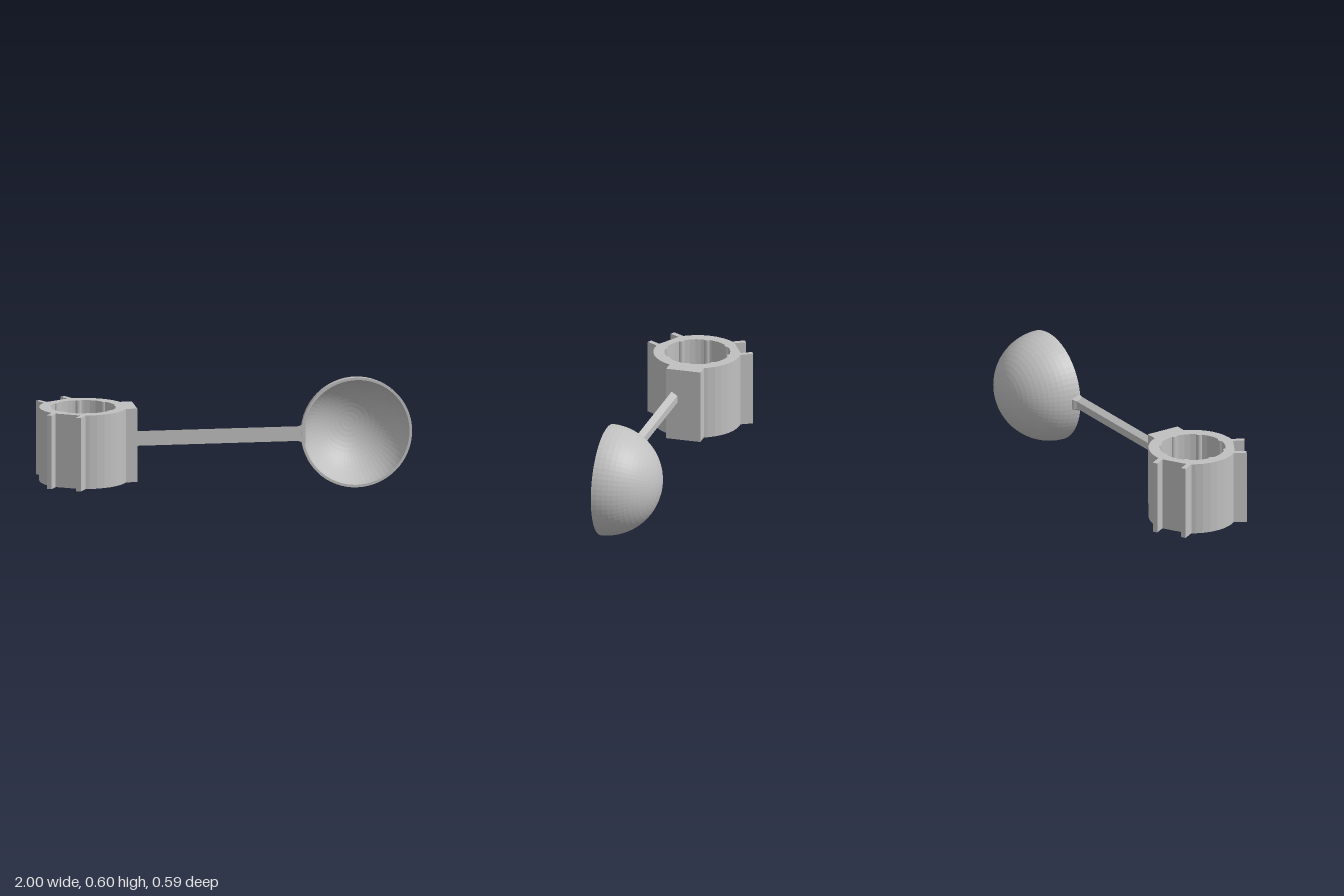
import * as THREE from 'three';
import { ConvexGeometry } from 'three/addons/geometries/ConvexGeometry.js';

export function createModel() {
  const model = new THREE.Group();
  const grey = new THREE.MeshStandardMaterial({ color: 0xc0c0c0 });
  grey.name = 'plain grey';

  function add(name, geometry, x = 0, y = 0, z = 0, parent = model) {
    const mesh = new THREE.Mesh(geometry, grey);
    mesh.name = name;
    mesh.position.set(x, y, z);
    parent.add(mesh);
    return mesh;
  }
  const rad = THREE.MathUtils.degToRad;
  const onCircle = (r, deg) => new THREE.Vector2(r * Math.cos(rad(deg)), r * Math.sin(rad(deg)));

  // Collar: faceted ring with two flats on its far side
  const collar = new THREE.Group();
  collar.name = 'collar';
  collar.position.set(-0.765, 0.073, 0);
  model.add(collar);
  const outline = [], hole = [];
  for (let a = 0; a < 360; a += 10) {
    const onFlat = Math.abs(a - 120) < 20 || Math.abs(a - 240) < 20;
    if (!onFlat) outline.push(onCircle(0.235, a));
    hole.push(onCircle(0.176, a));
  }
  const ringShape = new THREE.Shape(outline);
  ringShape.holes.push(new THREE.Path(hole));
  const ring = new THREE.ExtrudeGeometry(ringShape, { depth: 0.4, bevelEnabled: false });
  ring.rotateX(-Math.PI / 2);
  add('collarRing', ring, 0, 0, 0, collar);

  // Grip pins along the inner wall, stopping short of the bottom
  for (let i = 0; i < 8; i++) {
    const p = onCircle(0.183, i * 45);
    add('gripPin', new THREE.CylinderGeometry(0.018, 0.018, 0.3, 12), p.x, 0.25, p.y, collar);
  }

  // A pair of parallel fins beside each flat
  for (const angle of [120, 240]) {
    const pair = new THREE.Group();
    pair.name = 'finPair';
    pair.rotation.y = -rad(angle);
    collar.add(pair);
    for (const side of [-1, 1]) {
      add('fin', new THREE.BoxGeometry(0.078, 0.4, 0.027), 0.244, 0.2, side * 0.084, pair);
    }
  }

  // Mounting block between collar and arm
  add('mountBlock', new THREE.BoxGeometry(0.083, 0.4, 0.19), -0.5285, 0.273, -0.005);

  // Arm: flat front, bevelled back
  const armShape = new THREE.Shape([
    new THREE.Vector2(-0.06, -0.04), new THREE.Vector2(-0.06, 0.04),
    new THREE.Vector2(-0.028, 0.02), new THREE.Vector2(-0.028, -0.02),
  ]);
  const arm = new THREE.ExtrudeGeometry(armShape, { depth: 0.9, bevelEnabled: false });
  arm.rotateY(Math.PI / 2);
  add('arm', arm, -0.495, 0.304, 0);

  // Flared joint from arm into bowl
  const jointPoints = [];
  for (const [x, h, back] of [[0.375, 0.036, 0.035], [0.395, 0.042, 0.015], [0.425, 0.055, 0.005]]) {
    for (const s of [-1, 1]) {
      jointPoints.push(new THREE.Vector3(x, s * h, 0.06), new THREE.Vector3(x, s * h * 0.6, back));
    }
  }
  add('joint', new ConvexGeometry(jointPoints), 0, 0.304, 0);

  // Hollow half-sphere bowl, open to the front
  const profile = [];
  const steps = 16;
  for (let i = 0; i <= steps; i++) profile.push(onCircle(0.299, -90 + (90 * i) / steps));
  for (let i = steps; i >= 0; i--) profile.push(onCircle(0.285, -90 + (90 * i) / steps));
  profile[0].x = profile[profile.length - 1].x = 0;
  const bowl = new THREE.LatheGeometry(profile, 64).toNonIndexed();
  bowl.computeVertexNormals();
  bowl.rotateX(Math.PI / 2);
  add('bowl', bowl, 0.7, 0.301, 0.063);

  return model;
}
